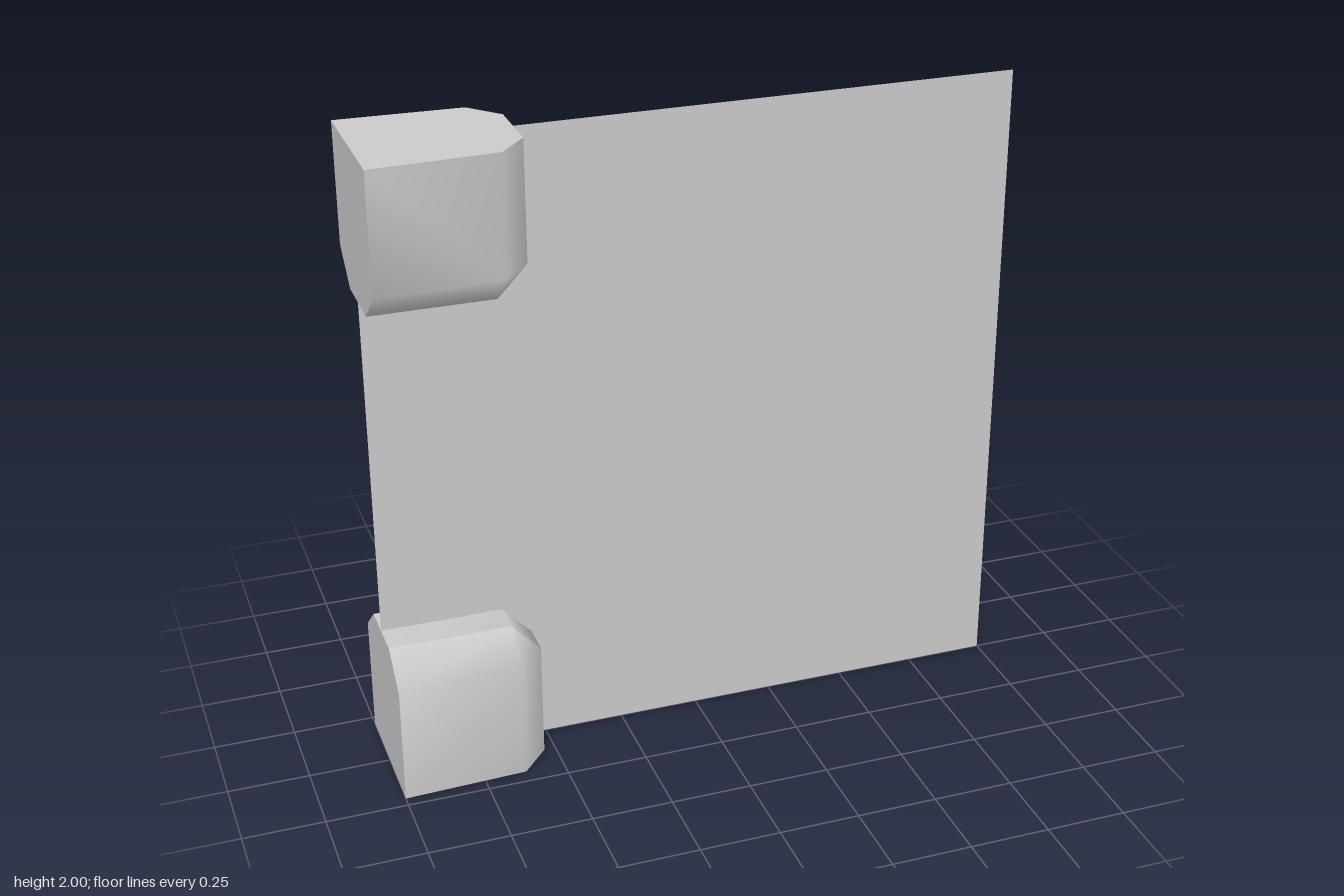
import * as THREE from 'three';

const material = new THREE.MeshStandardMaterial({ color: 0xcccccc, side: THREE.DoubleSide });

// Points shared within one surface are smoothed; separate surfaces meet in hard edges.
function surface(name, points, faces) {
  const geometry = new THREE.BufferGeometry();
  geometry.setAttribute('position', new THREE.Float32BufferAttribute(points.flat(), 3));
  geometry.setIndex(faces.flat());
  geometry.computeVertexNormals();
  const mesh = new THREE.Mesh(geometry, material);
  mesh.name = name;
  return mesh;
}

// Flat convex cap
function cap(name, loop) {
  const faces = [];
  for (let i = 1; i < loop.length - 1; i++) faces.push([0, i, i + 1]);
  return surface(name, loop, faces);
}

const mirrorZ = ([x, y, z]) => [x, y, -z];

function createClamp(name) {
  const clamp = new THREE.Group();
  clamp.name = name;

  // Cheek: tapered face plus the bevel running round to the rim
  const cheek = [
    [-1, 0, 0.215], [-0.62, 0, 0.2], [-0.62, 0.37, 0.2], [-1, 0.37, 0.215],
    [-0.535, 0, 0.105], [-0.535, 0.37, 0.105], [-0.625, 0.465, 0.105], [-1, 0.465, 0.105],
  ];
  const faces = [
    [0, 1, 2], [0, 2, 3], [1, 4, 5], [1, 5, 2], [2, 5, 6], [3, 2, 6], [3, 6, 7],
  ];
  clamp.add(surface('frontCheek', cheek, faces));
  clamp.add(surface('backCheek', cheek.map(mirrorZ), faces.map(([a, b, c]) => [a, c, b])));

  // Rim: band between the two cheeks
  const edge = [7, 6, 5, 4].map((i) => cheek[i]);
  const rimFaces = [];
  for (let i = 0; i < 3; i++) rimFaces.push([i, i + 1, i + 5], [i, i + 5, i + 4]);
  clamp.add(surface('rim', [...edge, ...edge.map(mirrorZ)], rimFaces));

  // Flat outer faces on the panel's side and end
  const symmetricLoop = (ids) => {
    const half = ids.map((i) => cheek[i]);
    return [...half, ...half.map(mirrorZ).reverse()];
  };
  clamp.add(cap('outerSide', symmetricLoop([0, 3, 7])));
  clamp.add(cap('outerEnd', symmetricLoop([0, 1, 4]).reverse()));
  return clamp;
}

export function createModel() {
  const model = new THREE.Group();
  model.name = 'clampedPanel';

  // Thin square panel
  const panel = new THREE.Mesh(new THREE.PlaneGeometry(2, 2), material);
  panel.name = 'panel';
  panel.position.y = 1;
  model.add(panel);

  // Corner clamps, the upper one turned over
  const lower = createClamp('lowerClamp');
  const upper = createClamp('upperClamp');
  upper.rotation.x = Math.PI;
  upper.position.y = 2;
  model.add(lower, upper);
  return model;
}
